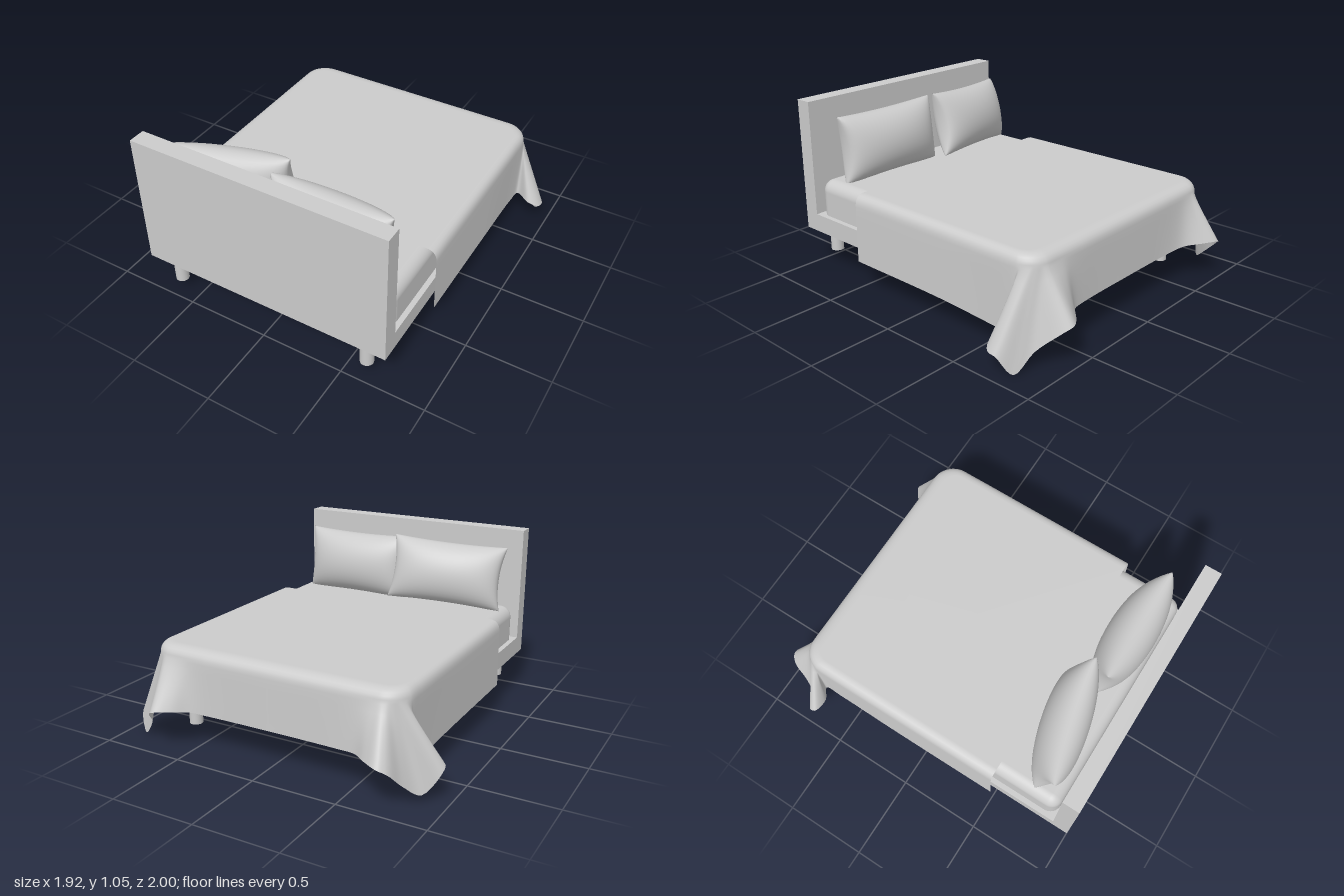
import * as THREE from 'three';
import { mergeGeometries, mergeVertices } from 'three/addons/utils/BufferGeometryUtils.js';
import { RoundedBoxGeometry } from 'three/addons/geometries/RoundedBoxGeometry.js';

const grey = new THREE.MeshStandardMaterial({ color: 0xcccccc });
const clothGrey = new THREE.MeshStandardMaterial({ color: 0xcccccc, side: THREE.DoubleSide });
const V = (x, y, z) => new THREE.Vector3(x, y, z);

function addMesh(group, name, geometry, x = 0, y = 0, z = 0, material = grey) {
  const mesh = new THREE.Mesh(geometry, material);
  mesh.name = name;
  mesh.position.set(x, y, z);
  group.add(mesh);
  return mesh;
}

// Cushion: two puffed sheets sharing a rim, with sides drawn in between the corners
function pillowGeometry(w, h, d) {
  const sheets = [0, Math.PI].map((turn) => {
    const g = new THREE.PlaneGeometry(2, 2, 28, 20);
    const p = g.attributes.position;
    for (let i = 0; i < p.count; i++) {
      const u = Math.sin(p.getX(i) * Math.PI / 2), v = Math.sin(p.getY(i) * Math.PI / 2);
      const puff = Math.pow(Math.max(0, 1 - u * u), 0.36) * Math.pow(Math.max(0, 1 - v * v), 0.5);
      p.setXYZ(i,
        w / 2 * u * (1 - 0.08 * (1 - v * v)),
        h / 2 * v * (1 - 0.06 * (1 - u * u)),
        puff < 1e-4 ? 0 : d / 2 * puff);
    }
    g.deleteAttribute('normal');
    g.deleteAttribute('uv');
    return g.rotateY(turn);
  });
  const g = mergeVertices(mergeGeometries(sheets), 1e-4);
  g.computeVertexNormals();
  return g;
}

// One half of the hem, from the head end round the corner fold to the foot
const leftHem = [
  [0.79, 0.18, 0.49], [0.79, 0.175, -0.2], [0.785, 0.15, -0.62],
  [0.8, 0.16, -0.7], [0.89, 0.15, -0.655], [0.95, 0.12, -0.69], [0.955, 0.11, -0.75], [0.89, 0.005, -0.81],
  [0.79, 0.11, -0.86], [0.71, 0.22, -0.97], [0.66, 0.25, -1],
  [0.58, 0.25, -0.95], [0.5, 0.24, -0.88], [0.4, 0.23, -0.855],
];
const rightHem = [
  [0.79, 0.18, 0.49], [0.79, 0.18, -0.2], [0.785, 0.17, -0.62],
  [0.79, 0.18, -0.72], [0.86, 0.19, -0.675], [0.95, 0.2, -0.685], [0.955, 0.17, -0.73], [0.87, 0.05, -0.78],
  [0.81, 0.12, -0.87], [0.77, 0.22, -0.97], [0.72, 0.25, -1],
  [0.63, 0.25, -0.95], [0.54, 0.24, -0.88], [0.42, 0.23, -0.855],
];

// Matching points on the top edge, the shoulder and the hem
function drapeColumns(hem, side) {
  return hem.map(([x, y, z], i) => {
    let top, shoulder;
    if (i < 3) {
      top = V(side * 0.72, 0.592, z);
      shoulder = V(side * 0.785, 0.52, z);
    } else if (i < 11) {
      const a = (i - 2) / 9 * Math.PI / 2, c = Math.cos(a), s = Math.sin(a);
      top = V(side * (0.64 + 0.08 * c), 0.592, -0.68 - 0.08 * s);
      shoulder = V(side * (0.64 + 0.145 * c), 0.52, -0.7 - 0.145 * s);
    } else {
      top = V(side * x, 0.592, -0.76);
      shoulder = V(side * x, 0.52, -0.845);
    }
    return [top, shoulder, V(side * x, y, z)];
  });
}

// Blanket: flat top, rounded shoulder, then straight fall to the hem
function blanketGeometry() {
  const middle = [V(0, 0.592, -0.76), V(0, 0.52, -0.845), V(0, 0.23, -0.85)];
  const columns = [...drapeColumns(leftHem, 1), middle, ...drapeColumns(rightHem, -1).reverse()];
  const [topEdge, shoulder, hem] = [0, 1, 2].map((k) => new THREE.CatmullRomCurve3(columns.map((c) => c[k])));
  const n = (columns.length - 1) * 5, bend = 6, fall = 6, rows = bend + fall + 1;
  const pos = [], index = [];
  for (let i = 0; i <= n; i++) {
    const t = topEdge.getPoint(i / n), s = shoulder.getPoint(i / n), h = hem.getPoint(i / n);
    const curve = new THREE.QuadraticBezierCurve3(t, V(s.x, t.y, s.z), s);
    for (let j = 0; j < rows; j++) {
      const p = j <= bend ? curve.getPoint(j / bend) : s.clone().lerp(h, (j - bend) / fall);
      pos.push(p.x, Math.max(0, p.y), p.z);
    }
  }
  const centre = pos.length / 3;
  pos.push(0, 0.592, -0.1);
  for (let i = 0; i < n; i++) {
    for (let j = 0; j < rows - 1; j++) {
      const a = i * rows + j, b = a + rows;
      index.push(a, a + 1, b, b, a + 1, b + 1);
    }
    index.push(centre, i * rows, (i + 1) * rows);
  }
  index.push(centre, n * rows, 0);
  const g = new THREE.BufferGeometry();
  g.setAttribute('position', new THREE.Float32BufferAttribute(pos, 3));
  g.setIndex(index);
  g.computeVertexNormals();
  return g;
}

export function createModel() {
  const bed = new THREE.Group();
  bed.name = 'bed';

  // Frame
  addMesh(bed, 'headboard', new THREE.BoxGeometry(1.53, 0.81, 0.1), 0, 0.655, 0.95);
  addMesh(bed, 'base', new THREE.BoxGeometry(1.53, 0.11, 1.72), 0, 0.305, 0.04);
  for (const [x, z] of [[0.615, 0.92], [-0.625, 0.92], [0.615, -0.68], [-0.605, -0.68]]) {
    addMesh(bed, 'leg', new THREE.CylinderGeometry(0.039, 0.039, 0.18, 24), x, 0.17, z);
  }

  // Mattress, its lower edge sunk into the base
  addMesh(bed, 'mattress', new RoundedBoxGeometry(1.47, 0.31, 1.69, 6, 0.07), 0, 0.425, 0.045);

  // Pillows leaning on the headboard
  const leftPillow = addMesh(bed, 'leftPillow', pillowGeometry(0.72, 0.41, 0.28), 0.31, 0.77, 0.74);
  leftPillow.rotation.set(0.12, 0, 0);
  const rightPillow = addMesh(bed, 'rightPillow', pillowGeometry(0.72, 0.4, 0.26), -0.345, 0.79, 0.69);
  rightPillow.rotation.set(0.25, 0.25, 0.07, 'YXZ');

  // Bedding
  addMesh(bed, 'blanket', blanketGeometry(), 0, 0, 0, clothGrey);
  return bed;
}
